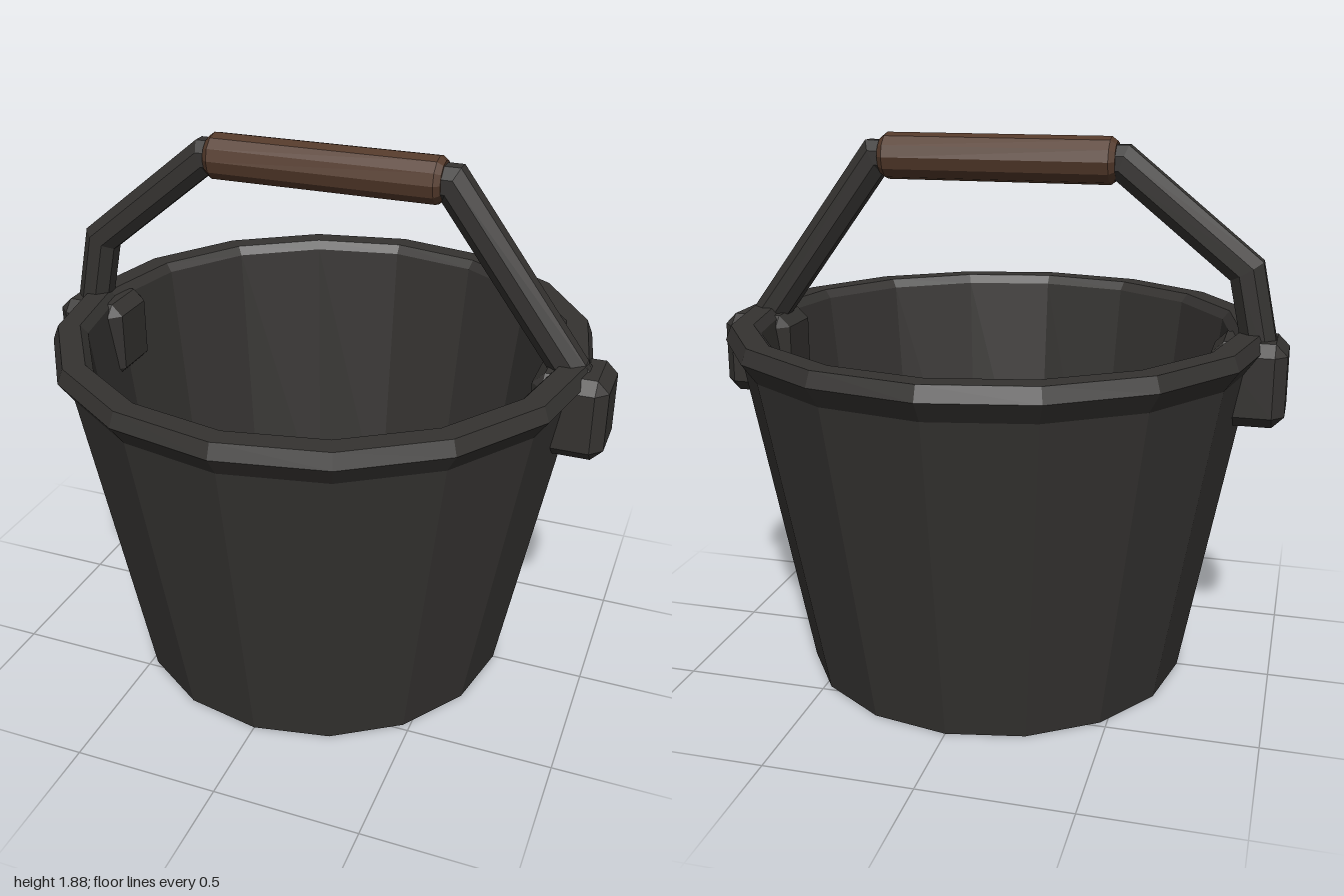
import * as THREE from 'three';
import { ConvexGeometry } from 'three/addons/geometries/ConvexGeometry.js';

const iron = new THREE.MeshStandardMaterial({ color: 0x353331, flatShading: true });
const wood = new THREE.MeshStandardMaterial({ color: 0x543a2b, flatShading: true });
const vec2 = (list) => list.map(([x, y]) => new THREE.Vector2(x, y));

function part(name, geometry, material) {
  const mesh = new THREE.Mesh(geometry, material);
  mesh.name = name;
  return mesh;
}

// Box with every edge cut off by c
function chamferedBox(w, h, d, c) {
  const points = [];
  for (const x of [-1, 1]) for (const y of [-1, 1]) for (const z of [-1, 1]) {
    for (let keep = 0; keep < 3; keep++) {
      const inset = [c, c, c];
      inset[keep] = 0;
      points.push(new THREE.Vector3(
        x * (w / 2 - inset[0]), y * (h / 2 - inset[1]), z * (d / 2 - inset[2])));
    }
  }
  return new ConvexGeometry(points);
}

// Sweeps a polygon along a path in the xy plane with mitred corners
function mitredBar(path, radius, sides) {
  const positions = [], index = [];
  const last = path.length - 1;
  path.forEach((p, i) => {
    const before = path[Math.max(i - 1, 0)], after = path[Math.min(i + 1, last)];
    const a = (i > 0 ? p.clone().sub(before) : after.clone().sub(p)).normalize();
    const b = (i < last ? after.clone().sub(p) : a.clone()).normalize();
    const dir = a.clone().add(b).normalize();
    const stretch = 1 / dir.dot(a);
    for (let j = 0; j < sides; j++) {
      const t = ((j + 0.5) / sides) * Math.PI * 2;
      const off = Math.cos(t) * radius * stretch;
      positions.push(p.x - dir.y * off, p.y + dir.x * off, Math.sin(t) * radius);
    }
  });
  for (let i = 0; i < last; i++) {
    for (let j = 0; j < sides; j++) {
      const k = (j + 1) % sides;
      const a = i * sides + j, b = i * sides + k;
      index.push(a, b, a + sides, b, b + sides, a + sides);
    }
  }
  // End caps
  for (let j = 1; j < sides - 1; j++) {
    const e = last * sides;
    index.push(0, j + 1, j, e, e + j, e + j + 1);
  }
  const geometry = new THREE.BufferGeometry();
  geometry.setAttribute('position', new THREE.Float32BufferAttribute(positions, 3));
  geometry.setIndex(index);
  geometry.computeVertexNormals();
  return geometry;
}

export function createModel() {
  const group = new THREE.Group();
  group.name = 'bucket';

  // Tapered shell: outside, flared rim, inside wall and floor
  const shell = vec2([
    [0, 0], [0.675, 0], [0.885, 1.13], [0.935, 1.2], [0.915, 1.25],
    [0.84, 1.25], [0.815, 1.22], [0.675, 0.07], [0, 0.07],
  ]);
  group.add(part('bucketShell', new THREE.LatheGeometry(shell, 16), iron));

  // Lugs through the wall that hold the handle
  for (const side of [-1, 1]) {
    const lug = part(side > 0 ? 'leftLug' : 'rightLug', chamferedBox(0.25, 0.285, 0.245, 0.04), iron);
    lug.position.set(side * 0.875, 1.088, 0);
    group.add(lug);
  }

  // Bent handle bar, kinked on one side only
  const path = vec2([
    [-0.925, 1.1], [-0.85, 1.455], [-0.43, 1.795], [0.435, 1.795], [0.91, 1.15],
  ]);
  group.add(part('handleBar', mitredBar(path, 0.063, 8), iron));

  // Wooden grip with chamfered ends
  const grip = vec2([
    [0, -0.41], [0.065, -0.41], [0.08, -0.39], [0.08, 0.39], [0.065, 0.41], [0, 0.41],
  ]);
  const gripMesh = part('grip', new THREE.LatheGeometry(grip, 12), wood);
  gripMesh.rotation.z = Math.PI / 2;
  gripMesh.position.y = 1.8;
  group.add(gripMesh);

  return group;
}
